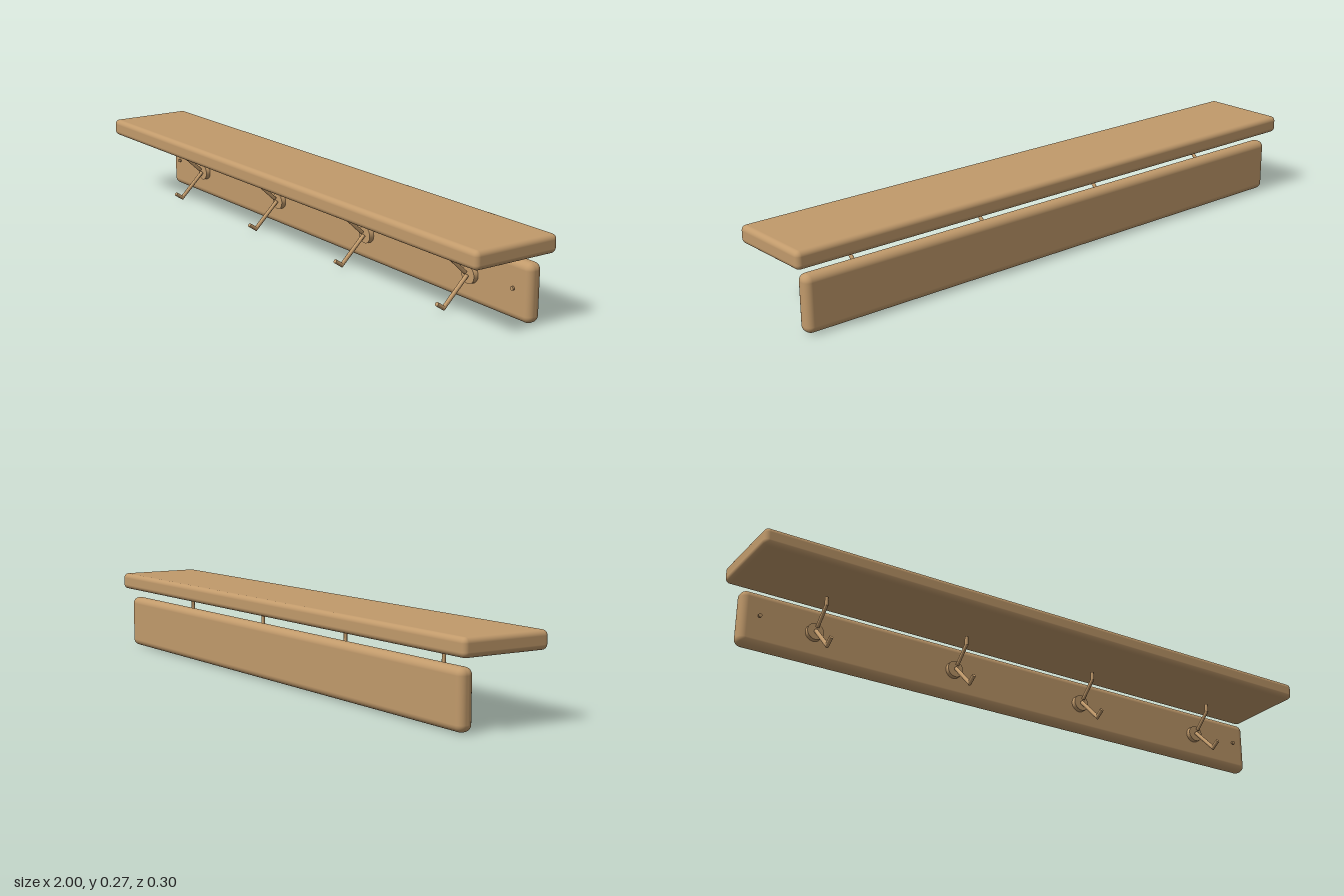
import * as THREE from 'three';
import { toCreasedNormals } from 'three/addons/utils/BufferGeometryUtils.js';
import { RoundedBoxGeometry } from 'three/addons/geometries/RoundedBoxGeometry.js';

const wood = new THREE.MeshStandardMaterial({ color: 0xc19a6b });
wood.name = 'warm wood';

function addPart(parent, name, geometry, x = 0, y = 0, z = 0) {
  const mesh = new THREE.Mesh(geometry, wood);
  mesh.name = name;
  mesh.position.set(x, y, z);
  parent.add(mesh);
  return mesh;
}

// Short cylinder whose axis points to the front
function disc(radius, depth) {
  return new THREE.CylinderGeometry(radius, radius, depth, 32).rotateX(Math.PI / 2);
}

// Round rod with one mitred bend, through three [y, z] points
function bentRod(points, radius) {
  const [a, b, c] = points.map(([y, z]) => new THREE.Vector2(y, z));
  const side = (p, q) => {
    const d = q.clone().sub(p).normalize();
    return new THREE.Vector2(-d.y, d.x);
  };
  const n1 = side(a, b), n2 = side(b, c);
  const mitre = n1.clone().add(n2).divideScalar(1 + n1.dot(n2));
  const rings = [[a, n1], [b, mitre], [c, n2]];
  const geometry = new THREE.CylinderGeometry(radius, radius, 2, 20, 2);
  const pos = geometry.attributes.position;
  for (let i = 0; i < pos.count; i++) {
    const [centre, across] = rings[Math.round(pos.getY(i)) + 1];
    const s = pos.getZ(i);
    pos.setXYZ(i, pos.getX(i), centre.x + across.x * s, centre.y + across.y * s);
  }
  return toCreasedNormals(geometry, 0.6);
}

export function createModel() {
  const model = new THREE.Group();
  model.name = 'coatRack';

  // Top shelf and upright back board
  addPart(model, 'shelf', new RoundedBoxGeometry(2, 0.056, 0.297, 5, 0.016), 0, 0.24, 0);
  addPart(model, 'backBoard', new RoundedBoxGeometry(1.93, 0.177, 0.051, 5, 0.022), 0, 0.0925, -0.1055);

  // Four double hooks on round mounting plates
  const upper = bentRod([[0.103, -0.054], [0.153, 0.0], [0.179, 0.0]], 0.006);
  const lower = bentRod([[0.093, -0.061], [0.0105, 0.0235], [0.0275, 0.049]], 0.0065);
  const plate = disc(0.027, 0.016);
  for (const x of [-0.73, -0.243, 0.243, 0.73]) {
    const hook = new THREE.Group();
    hook.name = 'hook';
    hook.position.x = x;
    addPart(hook, 'mountingPlate', plate, 0, 0.093, -0.072);
    addPart(hook, 'upperProng', upper);
    addPart(hook, 'lowerProng', lower);
    model.add(hook);
  }

  // Screw heads near the board ends
  for (const x of [-0.907, 0.907]) addPart(model, 'screwHead', disc(0.006, 0.006), x, 0.1, -0.072);

  return model;
}
